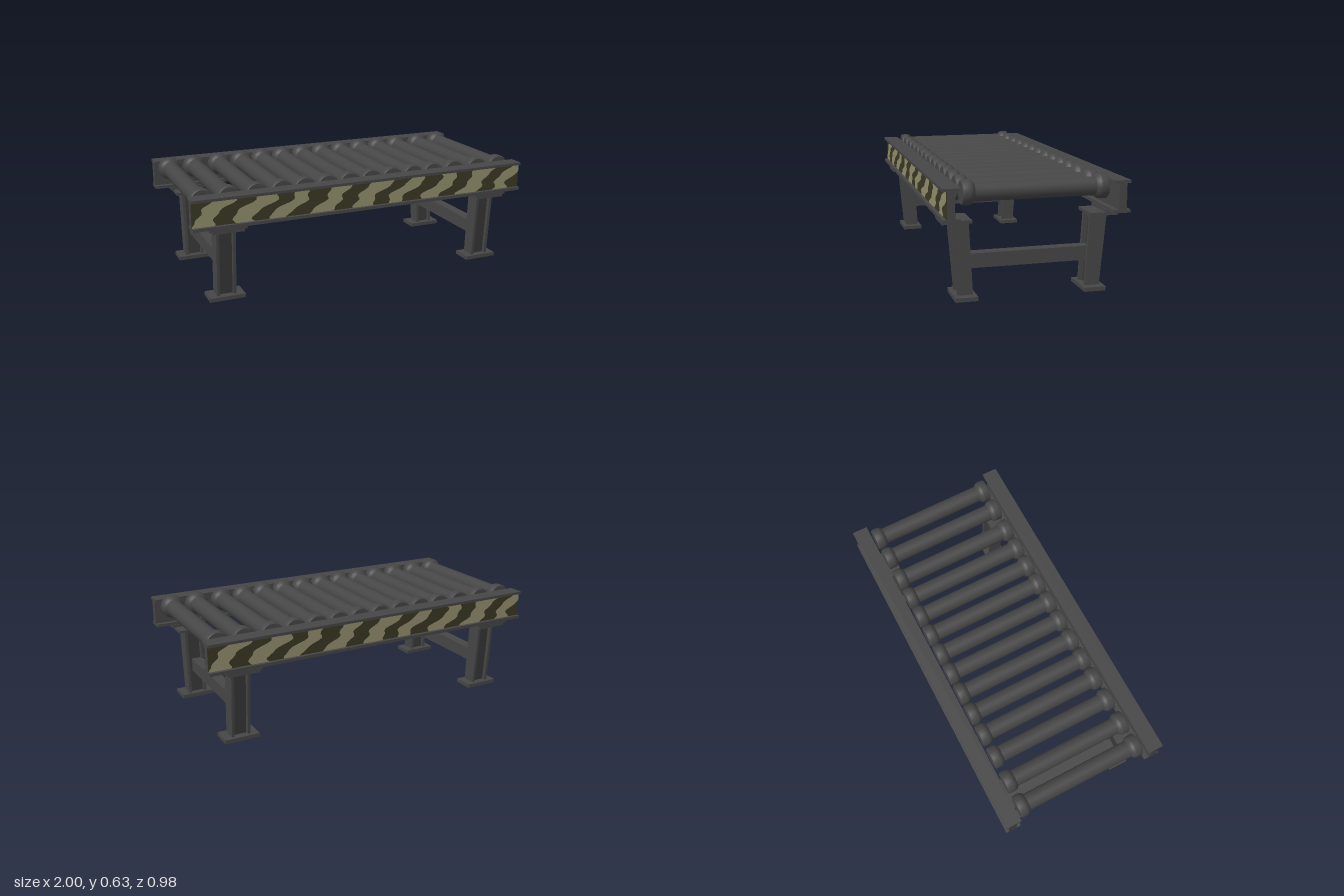
import * as THREE from 'three';

const material = (name, color) => {
  const m = new THREE.MeshStandardMaterial({ color });
  m.name = name;
  return m;
};

export function createModel() {
  const steel = material('dark grey steel', 0x464646);
  const shade = material('charcoal steel', 0x383838);
  const olive = material('dark olive', 0x3a3822);
  const tan = material('khaki tan', 0x938e6e);
  const model = new THREE.Group();
  model.name = 'rollerConveyor';

  const add = (parent, name, geometry, mat) => {
    const mesh = new THREE.Mesh(geometry, mat);
    mesh.name = name;
    parent.add(mesh);
    return mesh;
  };
  // Box given by its limits on each axis
  const box = (parent, name, mat, [x0, x1], [y0, y1], [z0, z1]) => {
    const g = new THREE.BoxGeometry(x1 - x0, y1 - y0, z1 - z0);
    g.translate((x0 + x1) / 2, (y0 + y1) / 2, (z0 + z1) / 2);
    return add(parent, name, g, mat);
  };
  // Box whose z limits differ between its foot and its head
  const leaningBox = (parent, name, mat, [x0, x1], [y0, y1], foot, head) => {
    const g = new THREE.BoxGeometry(x1 - x0, y1 - y0, 1);
    g.translate((x0 + x1) / 2, (y0 + y1) / 2, 0);
    const p = g.attributes.position;
    for (let i = 0; i < p.count; i++) {
      const range = p.getY(i) > (y0 + y1) / 2 ? head : foot;
      p.setZ(i, range[p.getZ(i) > 0 ? 1 : 0]);
    }
    g.computeVertexNormals();
    return add(parent, name, g, mat);
  };

  // Camouflage panel: olive plate with wavy slanted tan patches
  const addCamouflage = (parent) => {
    const y0 = 0.453, height = 0.137;
    box(parent, 'camouflageBase', olive, [-1, 1], [y0, y0 + height], [0.464, 0.468]);
    const steps = 12;
    for (let k = -1; k < 9; k++) {
      const start = -1.02 + k * 0.228;
      const edge = (t, side) => {
        const sway = 0.022 * Math.sin(t * 6.3 + k * 1.7 + side * 1.3)
          + 0.01 * Math.sin(t * 15 + k * 2.3 + side);
        const slant = 0.13 * t * t * (3 - 2 * t);
        const x = start + slant + side * (0.115 + 0.015 * Math.sin(k * 2.1)) + sway;
        return new THREE.Vector2(THREE.MathUtils.clamp(x, -1, 1), y0 + t * height);
      };
      const points = [];
      for (let i = 0; i <= steps; i++) points.push(edge(i / steps, 1));
      for (let i = steps; i >= 0; i--) points.push(edge(i / steps, 0));
      if (Math.max(...points.map((p) => p.x)) <= -0.99) continue;
      const patch = add(parent, 'camouflagePatch',
        new THREE.ShapeGeometry(new THREE.Shape(points)), tan);
      patch.position.z = 0.4695;
    }
  };

  // Each long side: I-beam rail and two legs
  for (const turn of [0, Math.PI]) {
    const side = new THREE.Group();
    side.name = turn ? 'backSide' : 'frontSide';
    side.rotation.y = turn;
    model.add(side);

    box(side, 'railWeb', steel, [-1, 1], [0.45, 0.592], [0.425, 0.465]);
    box(side, 'railTopFlange', steel, [-1, 1], [0.59, 0.605], [0.398, 0.488]);
    box(side, 'railBottomFlange', steel, [-1, 1], [0.436, 0.453], [0.398, 0.488]);
    addCamouflage(side);

    for (const x of [-0.806, 0.806]) {
      const leg = new THREE.Group();
      leg.name = 'leg';
      leg.position.x = x;
      side.add(leg);
      box(leg, 'footPlate', steel, [-0.1, 0.1], [0, 0.022], [0.287, 0.406]);
      for (const s of [-1, 1]) {
        leaningBox(leg, 'legFlange', steel, [s * 0.046 - 0.008, s * 0.046 + 0.008],
          [0.02, 0.405], [0.304, 0.385], [0.325, 0.418]);
      }
      leaningBox(leg, 'legWeb', shade, [-0.04, 0.04], [0.02, 0.405],
        [0.326, 0.363], [0.352, 0.391]);
      box(leg, 'legTopPlate', steel, [-0.088, 0.088], [0.403, 0.42], [0.315, 0.47]);
      box(leg, 'railPad', steel, [-0.103, 0.103], [0.418, 0.437], [0.395, 0.472]);
    }
  }

  // Cross bars between front and back legs
  for (const x of [-0.79, 0.79]) {
    box(model, 'crossBar', steel, [x - 0.032, x + 0.032], [0.15, 0.228], [-0.335, 0.335]);
  }

  // Rollers: tube with thicker collars at both ends
  const tubeGeometry = new THREE.CylinderGeometry(0.048, 0.048, 0.66, 24, 1, true);
  const collarProfile = [[0.0001, 0.382], [0.058, 0.382]].map((p) => new THREE.Vector2(...p));
  const collarFace = new THREE.LatheGeometry(collarProfile.reverse(), 24);
  const collarBand = new THREE.LatheGeometry(
    [[0.046, 0.316], [0.054, 0.321], [0.0635, 0.334], [0.065, 0.345], [0.065, 0.376], [0.058, 0.382]]
      .map((p) => new THREE.Vector2(...p)), 24);
  const rollerX = [-0.918, -0.77, -0.615, -0.472, -0.338, -0.203, -0.068,
    0.065, 0.199, 0.333, 0.466, 0.605, 0.765, 0.914];
  rollerX.forEach((x, i) => {
    const roller = new THREE.Group();
    roller.name = 'roller' + (i + 1);
    roller.position.set(x, 0.567, -0.003);
    roller.rotation.x = Math.PI / 2;
    model.add(roller);
    add(roller, 'rollerTube', tubeGeometry, steel);
    for (const flip of [0, Math.PI]) {
      const collar = new THREE.Group();
      collar.name = 'rollerCollar';
      collar.rotation.x = flip;
      add(collar, 'collarBand', collarBand, steel);
      add(collar, 'collarFace', collarFace, steel);
      roller.add(collar);
    }
  });

  return model;
}
